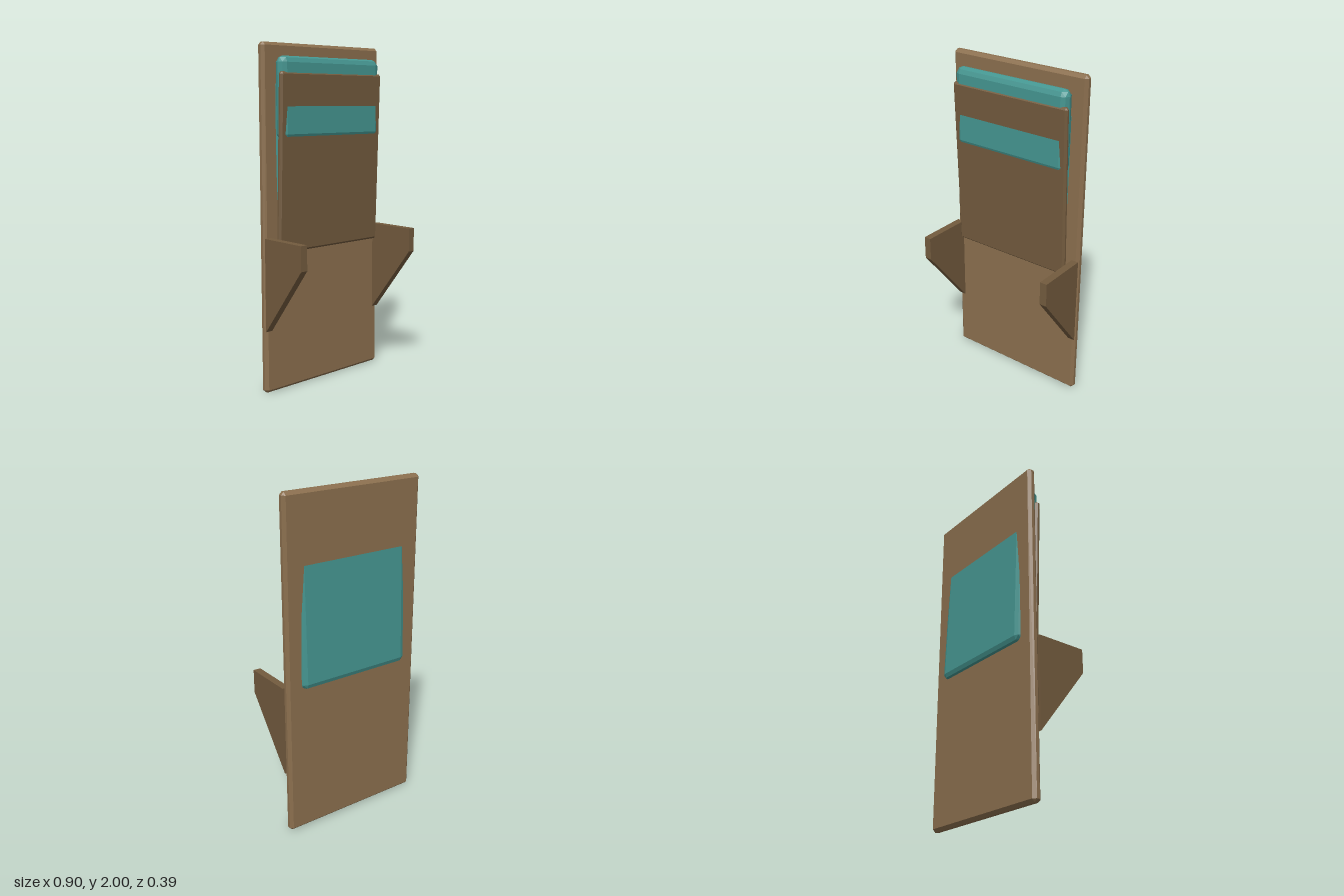
import * as THREE from 'three';
import { ConvexGeometry } from 'three/addons/geometries/ConvexGeometry.js';

const wood = new THREE.MeshStandardMaterial({ color: 0x8b6f4e, flatShading: true });
const darkWood = new THREE.MeshStandardMaterial({ color: 0x735b3e, flatShading: true });
const fabric = new THREE.MeshStandardMaterial({ color: 0x459691, flatShading: true });

// Box with bevelled edges: every corner is an octant of n steps (n = 1 is a plain chamfer)
function bevelBox(w, h, d, r, n) {
  const points = [];
  for (const sx of [-1, 1]) for (const sy of [-1, 1]) for (const sz of [-1, 1])
    for (let i = 0; i <= n; i++) for (let j = 0; j <= n - i; j++) {
      const dir = new THREE.Vector3(i, j, n - i - j).normalize().multiplyScalar(r);
      points.push(new THREE.Vector3(
        sx * (w / 2 - r + dir.x), sy * (h / 2 - r + dir.y), sz * (d / 2 - r + dir.z)));
    }
  return new ConvexGeometry(points);
}

export function createModel() {
  const group = new THREE.Group();

  function add(name, geometry, material, x, y, z, tilt = 0) {
    const mesh = new THREE.Mesh(geometry, material);
    mesh.name = name;
    mesh.position.set(x, y, z);
    mesh.rotation.x = tilt;
    group.add(mesh);
  }

  // Upright wall board
  add('backBoard', bevelBox(0.904, 2, 0.053, 0.017, 1), wood, 0, 1, -0.144);

  // Folded bed: panel and mattress lean forward together
  const tilt = 0.033;
  add('foldedPanel', bevelBox(0.78, 1.015, 0.035, 0.012, 1), darkWood, 0, 1.332, -0.064, tilt);
  add('mattress', bevelBox(0.73, 0.905, 0.09, 0.033, 2), fabric, 0, 1.347, -0.134, tilt);

  // Pillow standing behind the panel
  add('pillow', bevelBox(0.76, 0.465, 0.079, 0.035, 2), fabric, 0, 1.693, -0.0755);

  // Tapered side brackets, drawn in (z, y) and extruded across x
  const profile = new THREE.Shape([
    [-0.117, 0.37], [0.195, 0.77], [0.195, 0.912], [-0.117, 0.912],
  ].map(([z, y]) => new THREE.Vector2(-z, y)));
  const bracket = new THREE.ExtrudeGeometry(profile, { depth: 0.044, bevelEnabled: false });
  bracket.rotateY(Math.PI / 2).translate(-0.022, 0, 0);
  add('leftBracket', bracket, darkWood, 0.43, 0, 0);
  add('rightBracket', bracket, darkWood, -0.43, 0, 0);

  return group;
}
